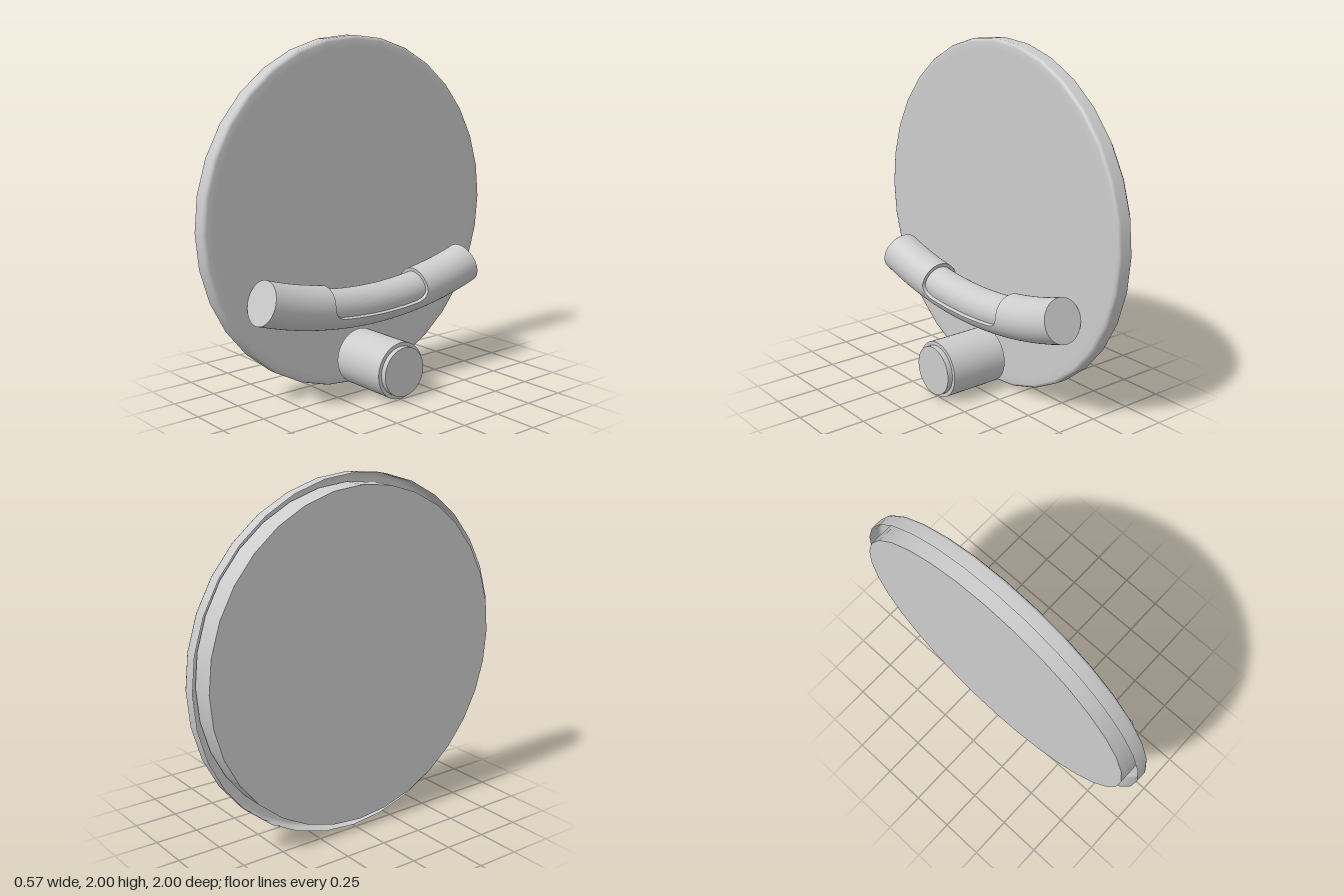
import * as THREE from 'three';
import { toCreasedNormals } from 'three/addons/utils/BufferGeometryUtils.js';

const grey = new THREE.MeshStandardMaterial({ color: 0xcccccc, side: THREE.DoubleSide });
grey.name = 'light grey';

function part(name, geometry) {
  const mesh = new THREE.Mesh(geometry, grey);
  mesh.name = name;
  return mesh;
}

// Cylinder lying along x, from x0 to x1
function xCylinder(name, radius, x0, x1, y, segments) {
  const g = new THREE.CylinderGeometry(radius, radius, x1 - x0, segments);
  g.rotateZ(-Math.PI / 2).translate((x0 + x1) / 2, y, 0);
  return part(name, g);
}

// Bent bar with a shallow grip recess wrapped over its upper side
function gripGeometry() {
  const R = 2.33, X = -0.016, Y = 0.507;
  const outer = 0.1235, inner = 0.103;
  const end = 0.322, half = 0.147, corner = 0.03;
  const low = -0.36, high = Math.PI - low, round = 0.6;

  const point = (theta, phi, r) => {
    const up = r * Math.sin(theta);
    return [
      X + r * Math.cos(theta),
      Y + R - (R - up) * Math.cos(phi),
      (R - up) * Math.sin(phi),
    ];
  };

  // One lengthwise line: cap centre, end section, step, middle, step, end section, cap centre
  const column = (theta, recessed) => {
    const d = Math.min(theta - low, high - theta);
    const k = recessed ? Math.max(0, 1 - d / round) : 1;
    const L = half - corner * (1 - Math.sqrt(1 - k * k));
    const r = recessed ? inner : outer;
    const line = [point(theta, -end, 0)];
    const run = (a, b, n, radius) => {
      for (let i = 0; i <= n; i++) line.push(point(theta, a + (b - a) * i / n, radius));
    };
    run(-end, -L, 6, outer);
    run(-L, L, 14, r);
    run(L, end, 6, outer);
    line.push(point(theta, end, 0));
    return line;
  };

  const columns = [];
  for (let i = 0; i <= 40; i++) columns.push(column(low + (high - low) * i / 40, true));
  for (let i = 0; i <= 20; i++) {
    columns.push(column(high + (low + 2 * Math.PI - high) * i / 20, false));
  }

  const positions = [];
  const A = new THREE.Vector3(), B = new THREE.Vector3(), C = new THREE.Vector3();
  const triangle = (a, b, c) => {
    A.fromArray(a);
    B.fromArray(b).sub(A);
    C.fromArray(c).sub(A);
    if (B.cross(C).length() > 1e-8) positions.push(...a, ...b, ...c);
  };
  columns.forEach((a, i) => {
    const b = columns[(i + 1) % columns.length];
    for (let j = 0; j < a.length - 1; j++) {
      triangle(a[j], b[j], a[j + 1]);
      triangle(b[j], b[j + 1], a[j + 1]);
    }
  });
  const g = new THREE.BufferGeometry();
  g.setAttribute('position', new THREE.Float32BufferAttribute(positions, 3));
  return toCreasedNormals(g, 0.6);
}

export function createModel() {
  const model = new THREE.Group();
  model.name = 'discWithGrip';

  // Front cover: a shallow dish, open at the back, with a softly rounded edge
  const profile = [
    [1, -0.225], [1, -0.158], [0.994, -0.146], [0.98, -0.14], [0.94, -0.14], [0, -0.14],
  ].map(([r, x]) => new THREE.Vector2(r, x));
  const cover = new THREE.LatheGeometry(profile, 32);
  cover.rotateZ(-Math.PI / 2).translate(0, 1, 0);
  model.add(part('frontCover', cover));

  // Back plate set inside the cover
  model.add(xCylinder('backPlate', 0.941, -0.285, -0.15, 1.003, 32));

  // Curved grip
  model.add(part('grip', gripGeometry()));

  // Knob with a smaller cap
  model.add(xCylinder('knob', 0.162, -0.11, 0.25, 0.167, 48));
  model.add(xCylinder('knobCap', 0.141, 0.24, 0.281, 0.167, 48));

  return model;
}
